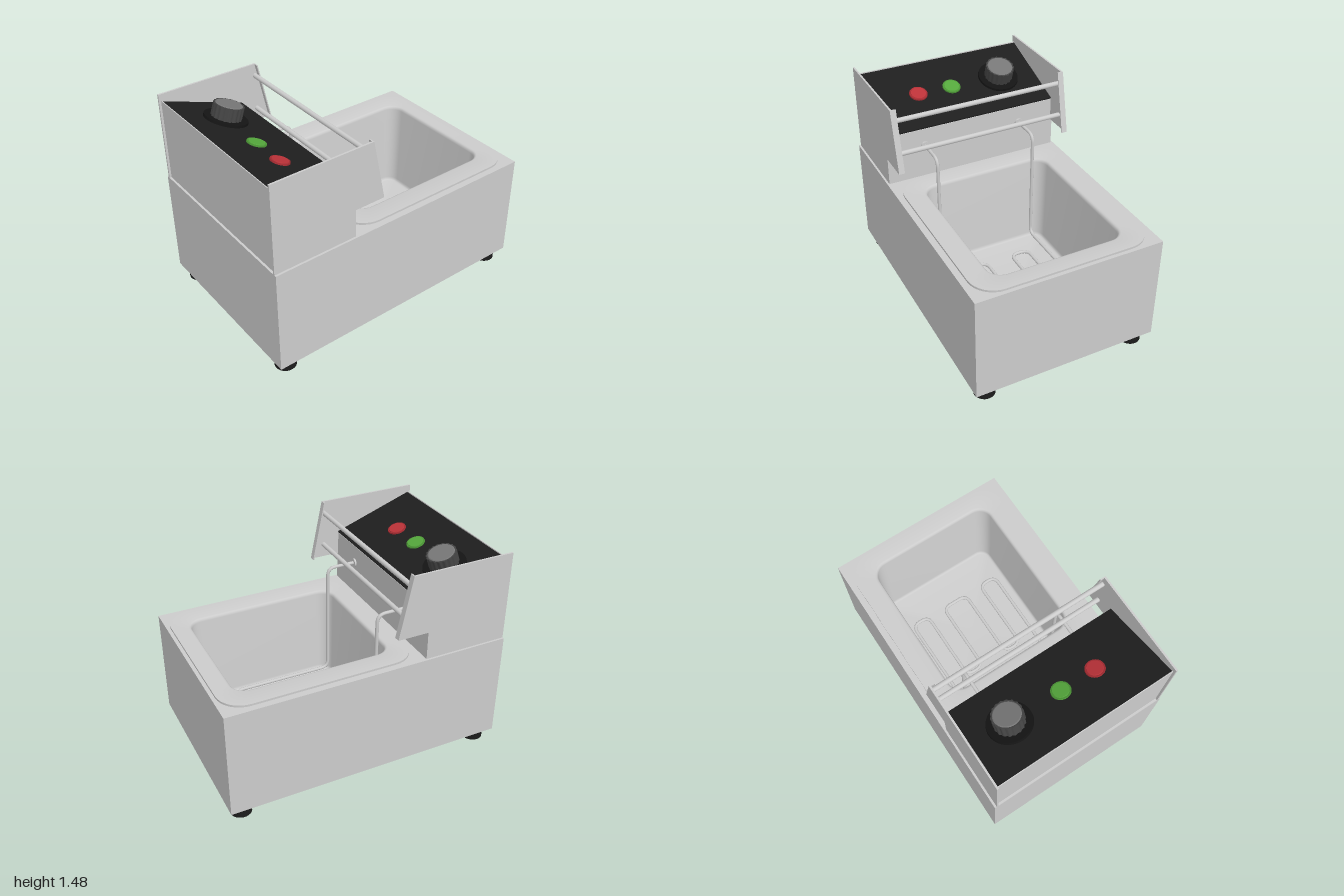
import * as THREE from 'three';
import { toCreasedNormals } from 'three/addons/utils/BufferGeometryUtils.js';

const paint = (color) => new THREE.MeshStandardMaterial({ color, side: THREE.DoubleSide });
const steel = paint(0xcccccc);
const black = paint(0x1c1c1c);

export function createModel() {
  const model = new THREE.Group();

  const add = (name, geometry, material = steel, position = [0, 0, 0], parent = model) => {
    const mesh = new THREE.Mesh(geometry, material);
    mesh.name = name;
    mesh.position.set(...position);
    parent.add(mesh);
    return mesh;
  };
  const rect = (hx, hz, cz = 0, Type = THREE.Shape) => new Type([
    [-hx, -hz - cz], [hx, -hz - cz], [hx, hz - cz], [-hx, hz - cz],
  ].map((p) => new THREE.Vector2(...p)));

  // Flat frame lying in xz with a rectangular hole
  const frame = (hx, hz, holeX, holeZ, height, holeCz = 0) => {
    const shape = rect(hx, hz);
    shape.holes.push(rect(holeX, holeZ, holeCz, THREE.Path));
    return new THREE.ExtrudeGeometry(shape, { depth: height, bevelEnabled: false }).rotateX(-Math.PI / 2);
  };
  // Side profile of [z, y] points extruded along x, centred on x = 0
  const profile = (points, width) => {
    const shape = new THREE.Shape(points.map((p) => new THREE.Vector2(...p)));
    return new THREE.ExtrudeGeometry(shape, { depth: width, bevelEnabled: false })
      .rotateY(-Math.PI / 2).translate(width / 2, 0, 0);
  };

  // Housing, open underneath
  add('housingWalls', frame(0.657, 1, 0.65, 0.993, 0.755), steel, [0, 0.09, 0]);
  add('bottomFlange', frame(0.657, 1, 0.482, 0.825, 0.007), steel, [0, 0.084, 0]);
  add('topPlate', frame(0.657, 1, 0.48, 0.555, 0.007, -0.31), steel, [0, 0.843, 0]);

  // Feet
  for (const x of [-0.555, 0.555]) {
    for (const z of [-0.9, 0.9]) {
      add('foot', new THREE.CylinderGeometry(0.073, 0.073, 0.086, 32), black, [x, 0.043, z]);
    }
  }

  // Basin with raised rim
  add('basin', basinGeometry());

  // Control box and its two side plates
  add('controlBox', profile([
    [0.985, 0.85], [0.985, 1.436], [0.979, 1.436], [0.979, 1.42], [0.4, 1.217], [0.4, 0.85],
  ], 1.26));
  for (const side of [-1, 1]) {
    const plate = profile([[1, 0.85], [1, 1.483], [0.27, 1.483], [0.18, 1.05], [0.4, 1.05], [0.4, 0.85]], 0.013);
    add('sidePlate', plate, steel, [side * 0.636, 0, 0]);
    const lip = profile([[0.27, 1.483], [0.18, 1.05], [0.188, 1.05], [0.278, 1.483]], 0.036);
    add('sidePlateLip', lip, steel, [side * 0.619, 0, 0]);
  }

  // Cross rods between the side plates
  for (const y of [1.145, 1.397]) {
    add('crossRod', new THREE.CylinderGeometry(0.017, 0.017, 1.26, 20).rotateZ(Math.PI / 2), steel, [0, y, 0.279]);
  }

  // Sloped control panel, local y pointing away from its face
  const panel = new THREE.Group();
  panel.name = 'controlPanel';
  panel.position.set(0, 1.3235, 0.69);
  panel.rotation.x = -Math.atan2(0.203, 0.579);
  model.add(panel);
  add('panelFace', new THREE.BoxGeometry(1.26, 0.012, 0.613), paint(0x1e1e1e), [0, 0, 0], panel);

  // Thermostat knob with scalloped grip
  const knob = new THREE.Group();
  knob.name = 'knob';
  knob.position.set(-0.345, 0, 0);
  panel.add(knob);
  add('dial', new THREE.CylinderGeometry(0.145, 0.148, 0.018, 48), paint(0x141414), [0, 0.013, 0], knob);
  const outline = Array.from({ length: 144 }, (_, i) => {
    const a = (i / 144) * Math.PI * 2;
    const r = 0.1 + 0.003 * Math.cos(a * 18);
    return new THREE.Vector2(r * Math.cos(a), r * Math.sin(a));
  });
  const grip = new THREE.ExtrudeGeometry(new THREE.Shape(outline), { depth: 0.09, bevelEnabled: false });
  add('knobGrip', toCreasedNormals(grip.rotateX(-Math.PI / 2), 0.6), paint(0x444444), [0, 0.02, 0], knob);
  add('knobCap', new THREE.CylinderGeometry(0.084, 0.09, 0.004, 48), paint(0x777777), [0, 0.112, 0], knob);

  // Indicator lamps
  for (const [name, x, color, rim] of [
    ['greenLamp', 0.025, 0x55a83c, 0x4a9434], ['redLamp', 0.28, 0xbb3238, 0xa32a30],
  ]) {
    add(name + 'Bezel', new THREE.CylinderGeometry(0.064, 0.066, 0.01, 36), paint(rim), [x, 0.01, 0.004], panel);
    add(name, new THREE.CylinderGeometry(0.053, 0.055, 0.004, 36), paint(color), [x, 0.017, 0.004], panel);
  }

  // Heating element: down from the box, then a serpentine over the basin floor
  const floor = 0.25;
  const half = [
    [0.365, 1.09, 0.4], [0.365, 1.09, 0.183], [0.365, floor, 0.183],
    [0.37, floor, -0.563], [0.235, floor, -0.563], [0.235, floor, -0.008],
    [0.1, floor, -0.008], [0.1, floor, -0.555],
  ];
  const mirrored = half.map(([x, y, z]) => [-x, y, z]).reverse();
  const path = filletPath([...half, ...mirrored], 0.06);
  add('heatingElement', new THREE.TubeGeometry(path, 500, 0.012, 10), steel);
  for (const x of [-0.365, 0.365]) {
    add('elementFitting', new THREE.CylinderGeometry(0.03, 0.03, 0.014, 20).rotateX(Math.PI / 2), steel, [x, 1.09, 0.394]);
  }
  return model;
}

// Polyline with rounded corners
function filletPath(points, radius) {
  const pts = points.map((p) => new THREE.Vector3(...p));
  const path = new THREE.CurvePath();
  let last = pts[0];
  for (let i = 1; i < pts.length - 1; i++) {
    const toward = (q) => pts[i].clone().add(q.clone().sub(pts[i]).setLength(radius));
    const a = toward(pts[i - 1]);
    const b = toward(pts[i + 1]);
    path.add(new THREE.LineCurve3(last, a));
    path.add(new THREE.QuadraticBezierCurve3(a, pts[i], b));
    last = b;
  }
  path.add(new THREE.LineCurve3(last, pts[pts.length - 1]));
  return path;
}

// Rounded-rectangle cross-sections lofted from the rim's outer edge to the floor
function basinGeometry() {
  // half x, half z, centre z, corner radius, y
  const sections = [
    [0.613, 0.667, -0.308, 0.17, 0.848], [0.613, 0.667, -0.308, 0.17, 0.864],
    [0.482, 0.556, -0.31, 0.115, 0.864], [0.472, 0.546, -0.31, 0.105, 0.861],
    [0.465, 0.539, -0.31, 0.098, 0.853], [0.462, 0.536, -0.31, 0.095, 0.84],
    [0.452, 0.524, -0.306, 0.085, 0.225], [0.449, 0.521, -0.306, 0.082, 0.211],
    [0.443, 0.515, -0.306, 0.076, 0.203], [0.432, 0.504, -0.306, 0.066, 0.2],
    [0.001, 0.001, -0.306, 0.0005, 0.2],
  ];
  const steps = 8;
  const count = 4 * (steps + 1);
  const positions = [];
  const index = [];
  sections.forEach(([hx, hz, cz, r, y], s) => {
    for (let k = 0; k < 4; k++) {
      const sx = k === 0 || k === 3 ? 1 : -1;
      const sz = k < 2 ? 1 : -1;
      for (let j = 0; j <= steps; j++) {
        const a = (k + j / steps) * Math.PI / 2;
        positions.push(sx * (hx - r) + r * Math.cos(a), y, cz + sz * (hz - r) + r * Math.sin(a));
      }
    }
    if (s === 0) return;
    for (let i = 0; i < count; i++) {
      const n = (i + 1) % count;
      const o = (s - 1) * count;
      const q = s * count;
      index.push(o + i, q + i, o + n, o + n, q + i, q + n);
    }
  });
  const geometry = new THREE.BufferGeometry();
  geometry.setAttribute('position', new THREE.Float32BufferAttribute(positions, 3));
  geometry.setIndex(index);
  return toCreasedNormals(geometry, 0.75);
}
